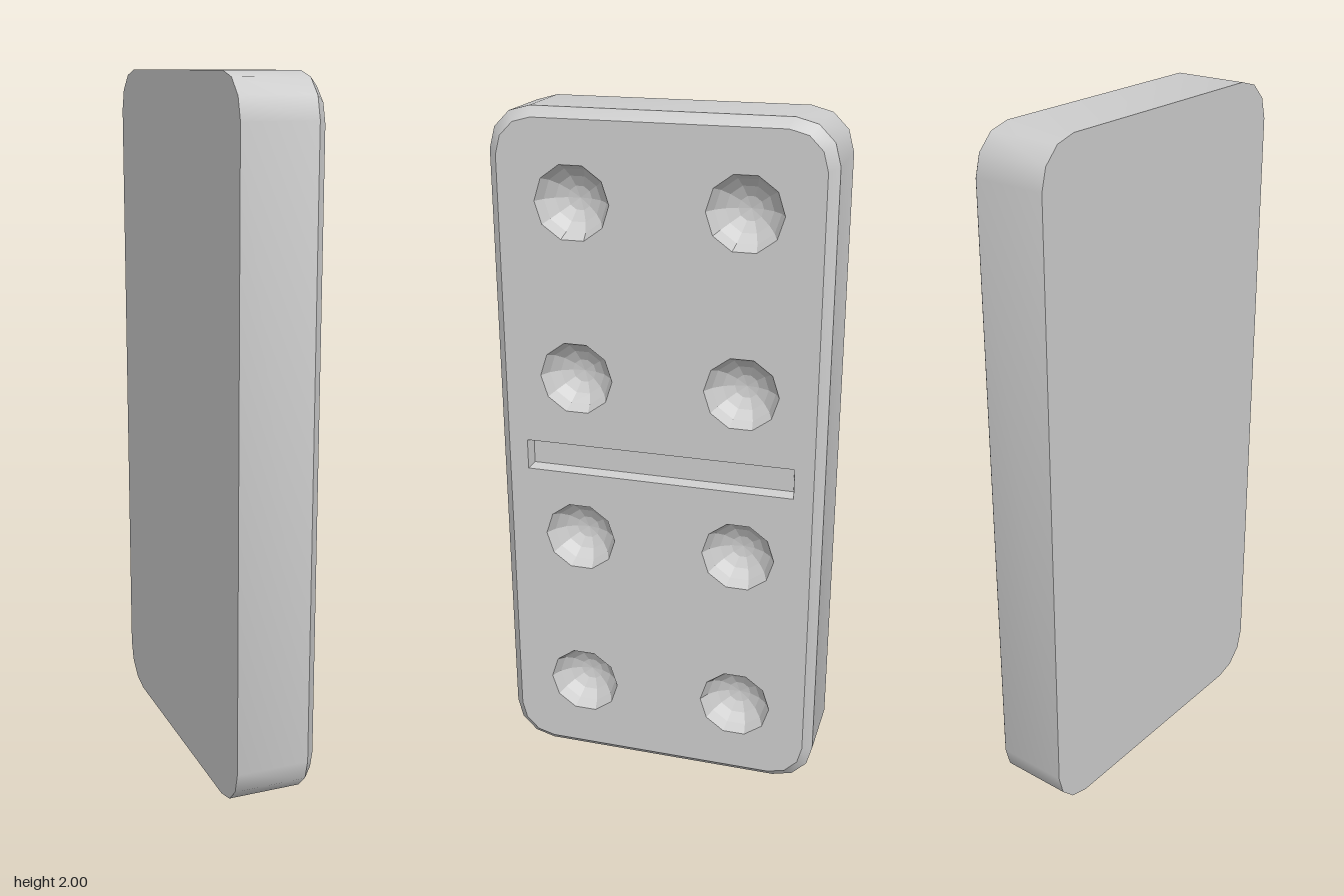
import * as THREE from 'three';
import { toCreasedNormals } from 'three/addons/utils/BufferGeometryUtils.js';

const HALF_W = 0.48, BACK = -0.12, FACE = 0.12;
const CHAMFER = 0.027, CORNER = 0.12;

// Rounded rectangle, counter-clockwise, pulled in by an inset
function tileOutline(inset) {
  const r = CORNER - inset * 0.6, points = [];
  const cx = HALF_W - inset - r, cy = 1 - inset - r;
  [[1, 1], [-1, 1], [-1, -1], [1, -1]].forEach(([sx, sy], corner) => {
    for (let i = 0; i <= 3; i++) {
      const a = (corner + i / 3) * Math.PI / 2;
      points.push(new THREE.Vector2(sx * cx + r * Math.cos(a), 1 + sy * cy + r * Math.sin(a)));
    }
  });
  return points;
}

function decagon(x, y, r) {
  return Array.from({ length: 10 }, (_, i) => {
    const a = i * Math.PI / 5;
    return new THREE.Vector2(x + r * Math.cos(a), y + r * Math.sin(a));
  });
}

function rectangle(w, h) {
  return [[w, h], [-w, h], [-w, -h], [w, -h]].map(([x, y]) => new THREE.Vector2(x, 1 + y));
}

// Joins closed rings, each { points, z }, into a surface
function loft(rings) {
  const position = [];
  const add = (...corners) => corners.forEach(([p, z]) => position.push(p.x, p.y, z));
  for (let k = 0; k < rings.length - 1; k++) {
    const a = rings[k], b = rings[k + 1], n = a.points.length;
    for (let i = 0; i < n; i++) {
      const j = (i + 1) % n;
      const a0 = [a.points[i], a.z], a1 = [a.points[j], a.z];
      const b0 = [b.points[i], b.z], b1 = [b.points[j], b.z];
      // Rings shrunk to one point need a single triangle
      if (!a.point) add(a0, a1, b1);
      if (!b.point) add(a0, b1, b0);
    }
  }
  const geometry = new THREE.BufferGeometry();
  geometry.setAttribute('position', new THREE.Float32BufferAttribute(position, 3));
  geometry.computeVertexNormals();
  return geometry;
}

export function createModel() {
  const group = new THREE.Group();
  group.name = 'dominoTile';
  const smooth = new THREE.MeshStandardMaterial({ color: 0xcccccc });
  const flat = new THREE.MeshStandardMaterial({ color: 0xcccccc, flatShading: true });

  // The tile is modelled facing +z, then turned to face +x
  const tile = new THREE.Group();
  tile.name = 'tile';
  tile.rotation.y = Math.PI / 2;
  group.add(tile);
  const part = (name, geometry, material) => {
    const mesh = new THREE.Mesh(geometry, material);
    mesh.name = name;
    tile.add(mesh);
  };

  // Back, rounded sides and the chamfer around the face
  const outer = tileOutline(0), inner = tileOutline(CHAMFER);
  const centre = outer.map(() => new THREE.Vector2(0, 1));
  part('body', toCreasedNormals(loft([
    { points: centre, z: BACK, point: true },
    { points: outer, z: BACK },
    { points: outer, z: FACE - CHAMFER },
    { points: inner, z: FACE },
  ]), 0.6), smooth);

  const face = new THREE.Shape(inner);

  // Eight faceted pits, four on each half
  const pitRadius = 0.107, pitAngle = 1.25, rings = 4;
  const sphere = pitRadius / Math.sin(pitAngle);
  for (const x of [-0.24, 0.24]) {
    for (const y of [0.25, 0.75, 1.25, 1.75]) {
      face.holes.push(new THREE.Path(decagon(x, y, pitRadius)));
      const bowl = [];
      for (let k = 0; k <= rings; k++) {
        const a = pitAngle * (1 - k / rings);
        bowl.push({
          points: decagon(x, y, sphere * Math.sin(a)),
          z: FACE - sphere * (Math.cos(a) - Math.cos(pitAngle)),
          point: k === rings,
        });
      }
      part('pit', loft(bowl), flat);
    }
  }

  // Dividing groove across the middle
  const rim = rectangle(0.397, 0.045), floor = rectangle(0.39, 0.038);
  face.holes.push(new THREE.Path(rim));
  part('dividerGroove', loft([
    { points: rim, z: FACE },
    { points: floor, z: FACE - 0.035 },
    { points: rectangle(0, 0), z: FACE - 0.035, point: true },
  ]), flat);

  // Front face with the openings cut out
  const faceGeometry = new THREE.ShapeGeometry(face);
  faceGeometry.translate(0, 0, FACE);
  part('face', faceGeometry, smooth);

  return group;
}
